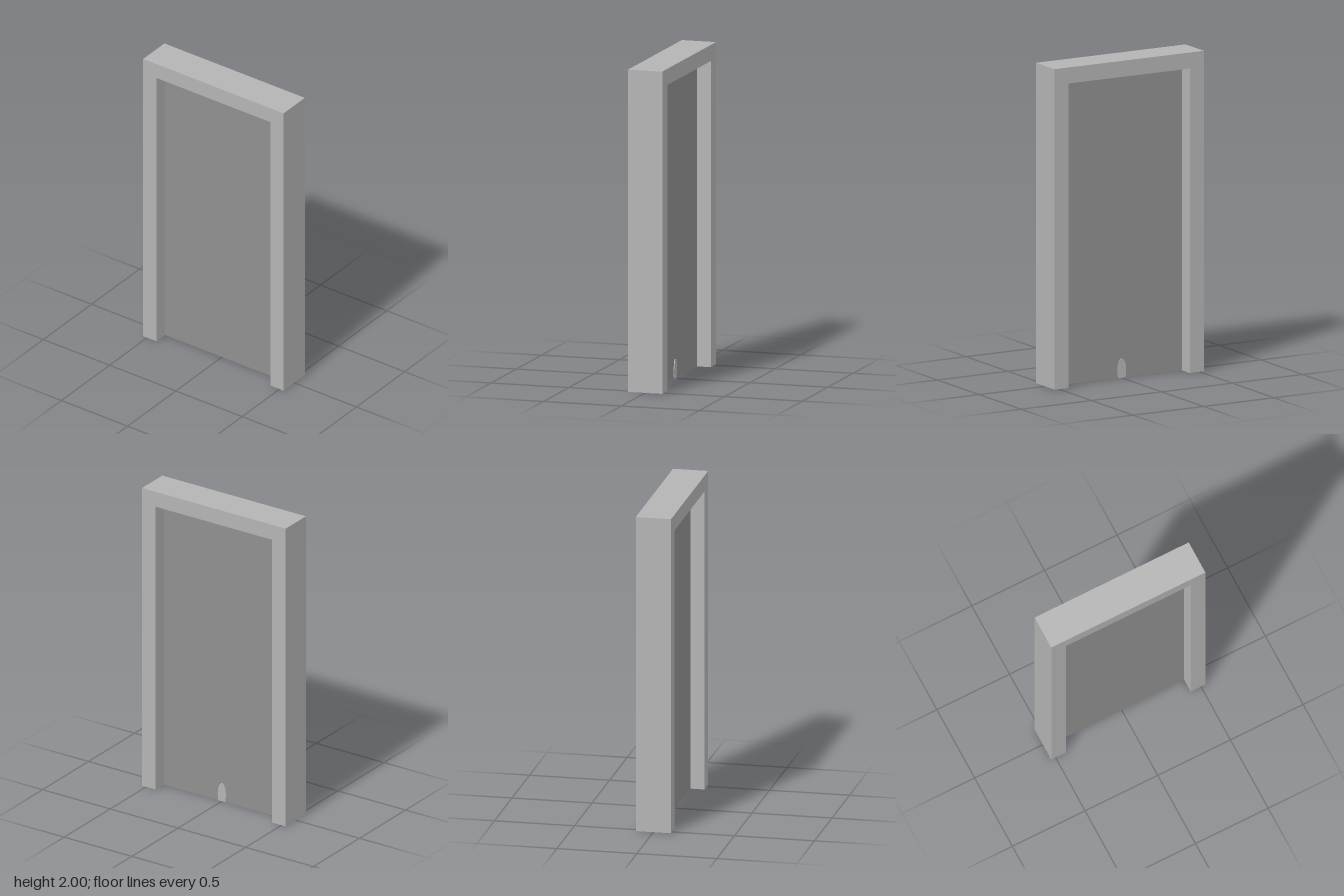
import * as THREE from 'three';

const W = 0.53, H = 2, D = 0.22;      // frame half width, height, depth
const IW = 0.43, IH = 1.9;            // opening half width and height
const DOOR_T = 0.04;                  // door thickness

function material(name, color) {
  const m = new THREE.MeshStandardMaterial({ color });
  m.name = name;
  return m;
}

function addMesh(group, name, geometry, mat) {
  const mesh = new THREE.Mesh(geometry, mat);
  mesh.name = name;
  group.add(mesh);
  return mesh;
}

export function createModel() {
  const group = new THREE.Group();
  group.name = 'doorway';
  const lightGrey = material('lightGrey', 0xb4b4b4);
  const midGrey = material('midGrey', 0x909090);

  // Frame: one U-shaped outline, open at the floor
  const outline = new THREE.Shape([
    [-W, 0], [-IW, 0], [-IW, IH], [IW, IH], [IW, 0], [W, 0], [W, H], [-W, H],
  ].map(([x, y]) => new THREE.Vector2(x, y)));
  const frame = new THREE.ExtrudeGeometry(outline, { depth: D, bevelEnabled: false });
  frame.translate(0, 0, -D / 2);
  addMesh(group, 'frame', frame, lightGrey);

  // Door panel, recessed equally on both sides
  const door = addMesh(group, 'door', new THREE.BoxGeometry(IW * 2, IH, DOOR_T), midGrey);
  door.position.y = IH / 2;

  // Small rounded plate at the foot of the door's back
  const arch = new THREE.Shape();
  arch.absellipse(0, 0.045, 0.03, 0.075, -0.64, Math.PI + 0.64, false);
  const plate = new THREE.ExtrudeGeometry(arch, { depth: 0.004, bevelEnabled: false, curveSegments: 20 });
  addMesh(group, 'backPlate', plate, lightGrey).position.z = -DOOR_T / 2 - 0.004;

  return group;
}
